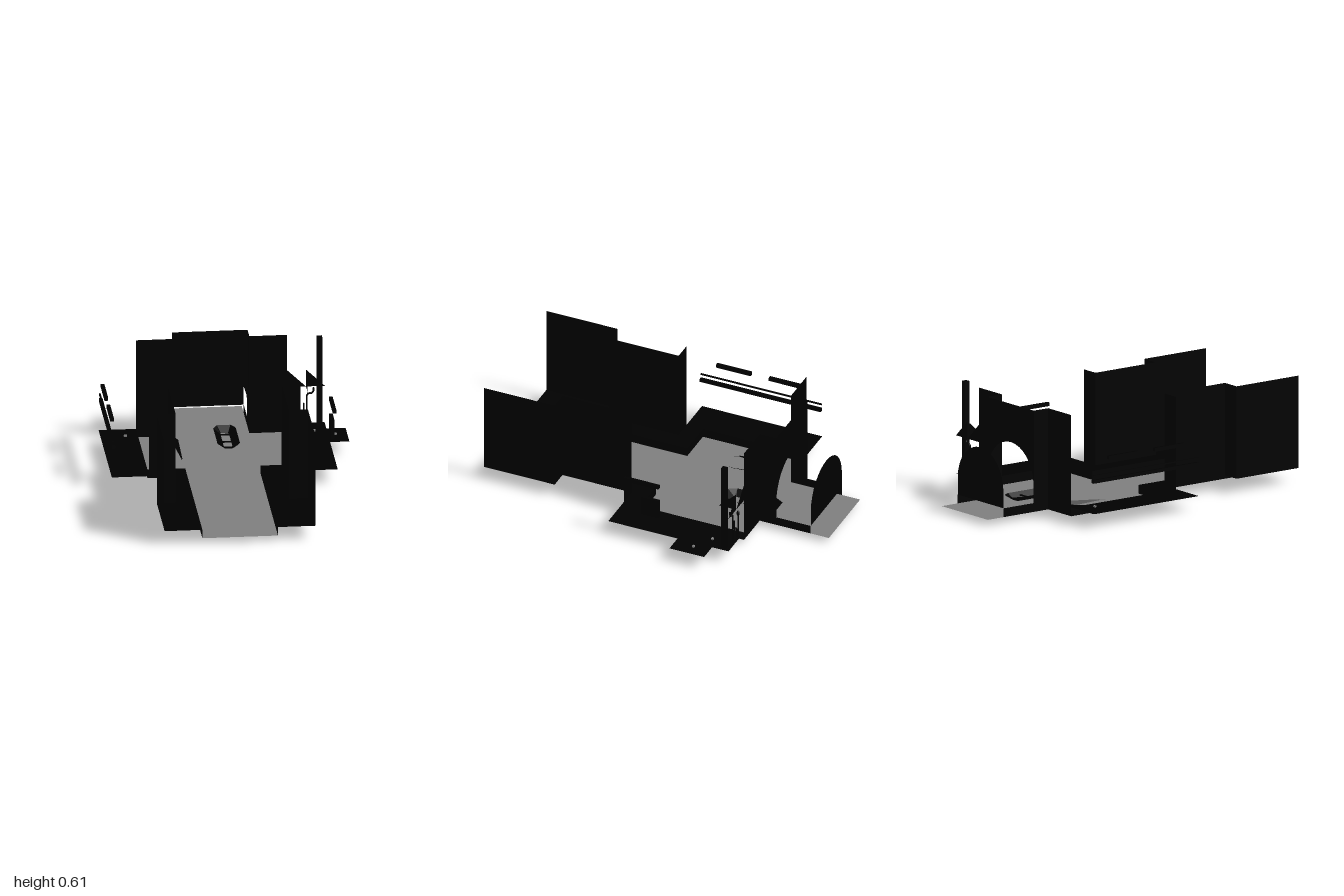
import * as THREE from 'three';

const CX = -0.055; // centre line of the canal
const WATER = 0.035, STREET = 0.085, TOP = 0.61;

const stone = new THREE.MeshStandardMaterial({ color: 0x000000, side: THREE.DoubleSide });
stone.name = 'blackStone';
const waterGrey = new THREE.MeshStandardMaterial({ color: 0x808080, side: THREE.DoubleSide });
waterGrey.name = 'waterGrey';

export function createModel() {
  const root = new THREE.Group();
  root.name = 'canalScene';

  const add = (name, geo, mat = stone, x = 0, y = 0, z = 0) => {
    const m = new THREE.Mesh(geo, mat);
    m.name = name;
    m.position.set(x, y, z);
    root.add(m);
    return m;
  };
  const box = (name, x0, x1, y0, y1, z0, z1, mat) =>
    add(name, new THREE.BoxGeometry(x1 - x0, y1 - y0, z1 - z0), mat,
      (x0 + x1) / 2, (y0 + y1) / 2, (z0 + z1) / 2);

  // Flat horizontal sheet from an outline of [x, z] points
  const sheet = (name, pts, y, mat) => {
    const g = new THREE.ShapeGeometry(new THREE.Shape(pts.map(([x, z]) => new THREE.Vector2(x, -z))));
    g.rotateX(-Math.PI / 2);
    return add(name, g, mat, 0, y, 0);
  };

  // Upright sheet following a path of [x, z] points
  const wall = (name, path, y0, y1) => {
    const pos = [];
    for (let i = 0; i < path.length - 1; i++) {
      const [ax, az] = path[i], [bx, bz] = path[i + 1];
      pos.push(ax, y0, az, bx, y0, bz, bx, y1, bz, ax, y0, az, bx, y1, bz, ax, y1, az);
    }
    const g = new THREE.BufferGeometry();
    g.setAttribute('position', new THREE.Float32BufferAttribute(pos, 3));
    g.computeVertexNormals();
    return add(name, g);
  };

  // Water: channel, wide basin and outlet
  const bank = [[0.21, 1], [0.21, 0.05], [0.42, 0.05], [0.42, -0.58], [0.21, -0.58], [0.21, -1]];
  const side = (pts, s) => pts.map(([u, z]) => [CX + s * u, z]);
  sheet('water', [...side(bank, 1), ...side(bank, -1).reverse()], WATER, waterGrey);

  // Streets, curbs and house fronts, mirrored across the canal
  const street = [[0.21, 1], [0.42, 1], [0.42, 0.57], [0.315, 0.57], [0.315, 0.15], [0.628, 0.15],
    [0.628, -0.58], [0.42, -0.58], [0.42, 0.05], [0.21, 0.05]];
  const curb = [...bank.slice(0, 5), [0.21, -0.89]];
  const houses = [[0.42, 1], [0.42, 0.57], [0.315, 0.57], [0.315, 0.15], [0.42, 0.15]];
  const gateSide = [[0.42, -0.58], [0.21, -0.58], [0.21, -0.68]];
  for (const s of [1, -1]) {
    const tag = s > 0 ? 'left' : 'right';
    sheet(tag + 'Street', side(street, s), STREET);
    wall(tag + 'Curb', side(curb, s), WATER, STREET);
    wall(tag + 'HouseFronts', side(houses, s), STREET, TOP);
    wall(tag + 'GateSide', side(gateSide, s), STREET, TOP);
  }
  sheet('landing', [[0.573, -0.27], [0.68, -0.27], [0.68, -0.48], [0.573, -0.48]], STREET);

  // Gate wall with an arched opening, and the arched end of the passage
  const arch = (P) => {
    const p = new P();
    p.moveTo(-0.208, STREET);
    p.lineTo(0.208, STREET);
    p.lineTo(0.208, 0.185);
    p.absarc(0, 0.185, 0.208, 0, Math.PI, false);
    p.lineTo(-0.208, STREET);
    return p;
  };
  const gate = new THREE.Shape();
  gate.moveTo(-0.21, STREET);
  gate.lineTo(-0.208, STREET);
  gate.lineTo(-0.208, 0.185);
  gate.absarc(0, 0.185, 0.208, Math.PI, 0, true);
  gate.lineTo(0.208, STREET);
  gate.lineTo(0.21, STREET);
  gate.lineTo(0.21, TOP);
  gate.lineTo(-0.21, TOP);
  add('archedGateWall', new THREE.ShapeGeometry(gate, 8), stone, CX, 0, -0.68);
  add('passageEnd', new THREE.ShapeGeometry(arch(THREE.Shape), 8), stone, CX, 0, -0.89);

  // Boats: sloping sides between a bottom outline and a rim outline
  const boat = (name, rim, floor, h, closed) => {
    const n = rim.length, pos = [], idx = [];
    floor.forEach(([x, z]) => pos.push(x, 0, z));
    rim.forEach(([x, z]) => pos.push(x, h, z));
    for (let i = 0; i < n; i++) {
      const j = (i + 1) % n;
      idx.push(i, j, n + j, i, n + j, n + i);
      if (closed && i > 0 && i < n - 1) idx.push(0, i, i + 1);
    }
    const g = new THREE.BufferGeometry();
    g.setAttribute('position', new THREE.Float32BufferAttribute(pos, 3));
    g.setIndex(idx);
    const flat = g.toNonIndexed();
    flat.computeVertexNormals();
    return add(name, flat);
  };
  const hull = (w, l, cw, cl) => [[w, l - cl], [w - cw, l], [cw - w, l], [-w, l - cl],
    [-w, cl - l], [cw - w, -l], [w - cw, -l], [w, cl - l]];
  boat('floatingBoat', hull(0.0625, 0.165, 0.025, 0.045), hull(0.024, 0.12, 0.004, 0.01), 0.03, false)
    .position.set(0.018, WATER + 0.001, -0.475);
  for (const z of [-0.53, -0.42]) box('boatSeat', -0.02, 0.055, 0.048, 0.054, z - 0.006, z + 0.006);
  const sunk = boat('sunkenBoat', hull(0.064, 0.165, 0.025, 0.05), hull(0.03, 0.125, 0.006, 0.02), 0.036, true);
  sunk.position.set(-0.318, 0.015, -0.335);
  sunk.rotation.x = 0.1;

  // Corner post with braces against the back edge
  box('post', 0.525, 0.555, STREET, TOP, -0.555, -0.525);
  const tri = new THREE.Shape([new THREE.Vector2(0, 0), new THREE.Vector2(0.105, 0), new THREE.Vector2(0, 0.1)]);
  for (const x of [0.365, 0.47]) add('brace', new THREE.ShapeGeometry(tri), stone, x, 0.3, -0.58);
  add('sideBrace', new THREE.ShapeGeometry(tri), stone, 0.47, 0.3, -0.58).rotation.y = -Math.PI / 2;

  // Bent pipes
  const pipe = (name, pts, r = 0.005) => {
    const path = new THREE.CurvePath();
    const v = pts.map(([x, y]) => new THREE.Vector3(x, y, -0.56));
    for (let i = 0; i < v.length - 1; i++) path.add(new THREE.LineCurve3(v[i], v[i + 1]));
    add(name, new THREE.TubeGeometry(path, 40, r, 6));
  };
  pipe('shortPipe', [[0.4, STREET], [0.4, 0.24]], 0.004);
  add('pipeKnob', new THREE.SphereGeometry(0.009, 8, 6), stone, 0.4, 0.228, -0.56).scale.y = 1.8;
  pipe('middlePipe', [[0.42, STREET], [0.42, 0.135], [0.43, 0.148], [0.445, 0.148], [0.455, 0.16], [0.455, 0.21]]);
  pipe('tallPipe', [[0.472, STREET], [0.472, 0.255], [0.482, 0.268], [0.5, 0.268], [0.51, 0.28], [0.51, 0.3]]);

  // Rails and overhead bars on the street edges
  box('upperRail', -0.682, -0.672, 0.298, 0.304, -0.58, 0.155);
  box('lowerRail', -0.682, -0.662, 0.258, 0.276, -0.58, 0.155);
  box('overheadBar', -0.682, -0.662, 0.38, 0.4, -0.155, 0.055);
  box('overheadBar', -0.682, -0.662, 0.38, 0.4, -0.475, -0.265);
  box('overheadBar', 0.555, 0.575, 0.38, 0.4, -0.155, 0.055);
  box('hangingBoard', 0.555, 0.575, 0.19, 0.3, -0.155, -0.05);

  // Small pale pads on the pavement
  for (const [x, z] of [[-0.545, -0.47], [0.5, -0.45], [0.612, -0.385]])
    box('pavementPad', x - 0.009, x + 0.009, STREET, STREET + 0.008, z - 0.006, z + 0.006, waterGrey);

  return root;
}
